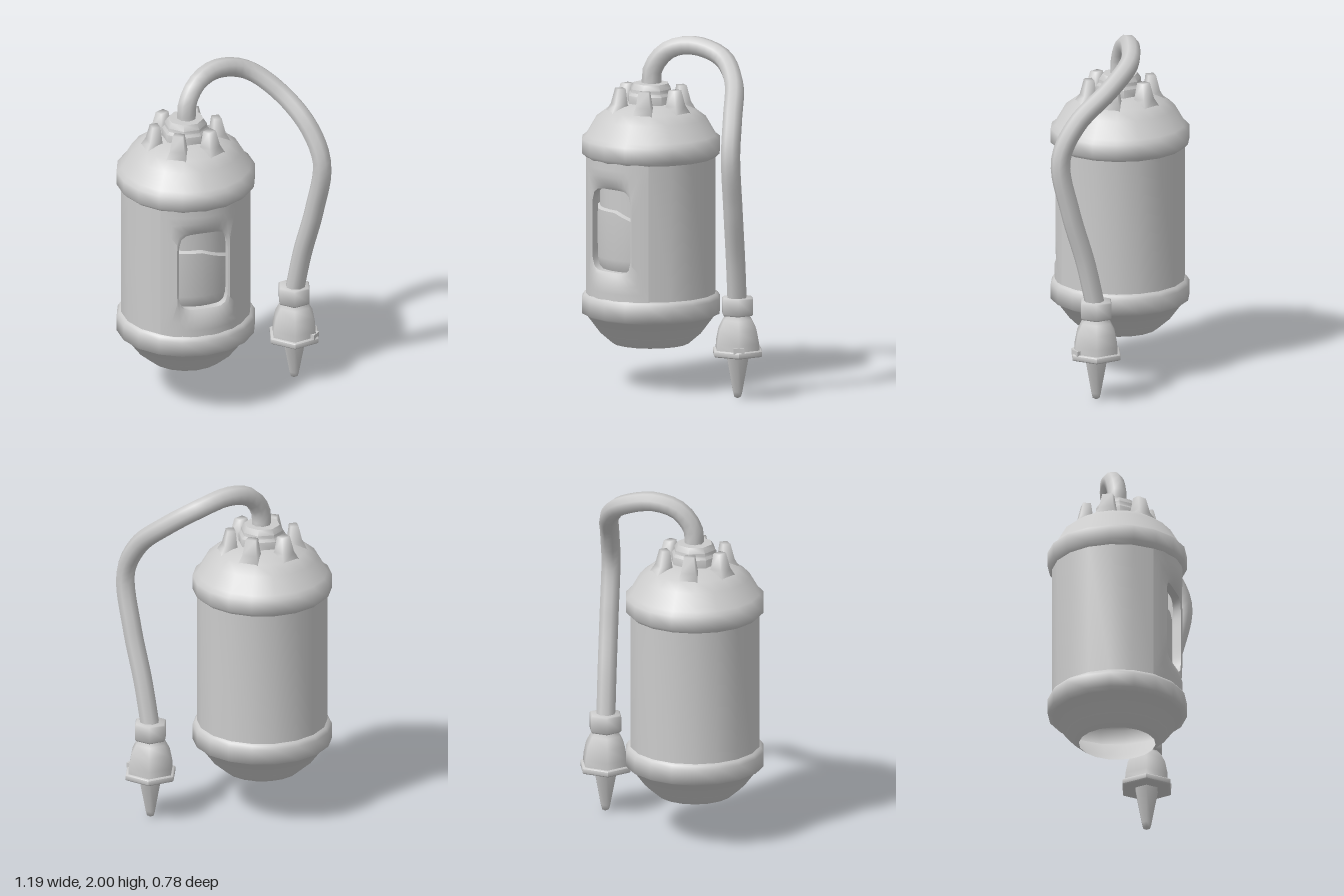
import * as THREE from 'three';
import { toCreasedNormals } from 'three/addons/utils/BufferGeometryUtils.js';

const R = 0.366; // tank wall radius
const TANK_X = -0.21;

export function createModel() {
  const model = new THREE.Group();
  const solid = new THREE.MeshStandardMaterial({ color: 0xcccccc });
  const shell = new THREE.MeshStandardMaterial({ color: 0xcccccc, side: THREE.DoubleSide });

  const add = (parent, name, geometry, material = solid) => {
    const mesh = new THREE.Mesh(geometry, material);
    mesh.name = name;
    parent.add(mesh);
    return mesh;
  };
  // Turned part from [radius, y] pairs, listed from bottom to top
  const turned = (points, sides, crease = 1.2, start = 0, sweep = Math.PI * 2) =>
    toCreasedNormals(new THREE.LatheGeometry(
      points.map(([r, y]) => new THREE.Vector2(r, y)), sides, start, sweep), crease);

  // ---- Tank ----
  const tank = new THREE.Group();
  tank.name = 'tank';
  tank.position.x = TANK_X;
  model.add(tank);

  // Bottom is left open
  add(tank, 'lowerCap', turned([
    [0.215, 0.245], [0.285, 0.305], [0.36, 0.405], [0.391, 0.42],
    [0.391, 0.505], [0.378, 0.525], [R - 0.002, 0.535],
  ], 18), shell);
  add(tank, 'dome', turned([
    [R - 0.002, 1.305], [0.391, 1.33], [0.391, 1.41], [0.365, 1.43],
    [0.31, 1.525], [0.25, 1.57], [0.185, 1.597], [0.13, 1.61], [0, 1.62],
  ], 18), shell);

  // Wall: plain sweep round the back, panel with the window at the front
  const gap = THREE.MathUtils.degToRad(40);
  add(tank, 'wall',
    turned([[R, 0.52], [R, 1.32]], 14, 1.2, gap, Math.PI * 2 - 2 * gap), shell);
  add(tank, 'windowPanel', windowPanel(gap), shell);

  // Contents seen through the window
  add(tank, 'innerVessel', turned([[0.285, 0.64], [0.285, 1.2]], 12, 1.2, -1.2, 2.4), shell);
  const liquid = turned([
    [0.27, 0.655], [0.298, 0.69], [0.308, 0.75], [0.308, 1.0], [0.28, 1.012],
  ], 12, 0.7, -1.2, 2.4);
  const p = liquid.attributes.position;
  for (let i = 0; i < p.count; i++) // surface level on one side, sloping on the other
    if (p.getY(i) > 0.9) p.setY(i, p.getY(i) + 0.02 - Math.max(0, p.getX(i)) * 0.4);
  add(tank, 'liquid', toCreasedNormals(liquid, 0.7), shell);

  // Six softly flared prongs round the hub: [y, inner, outer, half width]
  const levels = [[1.56, 0.13, 0.25, 0.06], [1.61, 0.15, 0.222, 0.042], [1.698, 0.158, 0.202, 0.029]];
  for (let i = 0; i < 6; i++) {
    const prong = new THREE.BoxGeometry(1, 2, 1, 1, 2, 1);
    const v = prong.attributes.position;
    for (let j = 0; j < v.count; j++) {
      const [y, inner, outer, half] = levels[Math.round(v.getY(j)) + 1];
      v.setXYZ(j, v.getX(j) > 0 ? outer : inner, y, Math.sign(v.getZ(j)) * half);
    }
    add(tank, 'prong', toCreasedNormals(prong, 1.65)).rotation.y = i * Math.PI / 3;
  }

  add(tank, 'hoseSocket', turned([
    [0.135, 1.6], [0.135, 1.655], [0.12, 1.67], [0.12, 1.69], [0.1, 1.72], [0, 1.725],
  ], 8, 0.9, Math.PI / 8));

  // ---- Hose ----
  const path = new THREE.CatmullRomCurve3([
    [-0.205, 1.69, 0], [-0.2, 1.8, -0.005], [-0.13, 1.905, -0.045], [0, 1.945, -0.105],
    [0.19, 1.895, -0.147], [0.35, 1.78, -0.07], [0.48, 1.61, 0.085], [0.537, 1.41, 0.165],
    [0.51, 1.1, 0.115], [0.462, 0.8, 0.04], [0.43, 0.54, -0.01],
  ].map((q) => new THREE.Vector3(...q)));
  add(model, 'hose', new THREE.TubeGeometry(path, 44, 0.055, 8), shell);

  // ---- Nozzle ----
  const nozzle = new THREE.Group();
  nozzle.name = 'nozzle';
  nozzle.position.set(0.43, 0, -0.013);
  nozzle.rotation.y = Math.PI / 4;
  model.add(nozzle);

  add(nozzle, 'collar', turned([
    [0, 0.475], [0.09, 0.475], [0.098, 0.485], [0.098, 0.567], [0.09, 0.575], [0, 0.575],
  ], 6));
  add(nozzle, 'bell', turned([
    [0.138, 0.27], [0.136, 0.32], [0.12, 0.395], [0.09, 0.45], [0.068, 0.475], [0.068, 0.49],
  ], 6), shell);
  add(nozzle, 'flange', turned([
    [0, 0.246], [0.148, 0.246], [0.155, 0.252], [0.155, 0.276], [0.148, 0.282], [0, 0.282],
  ], 6));
  add(nozzle, 'tip', turned([
    [0, 0], [0.022, 0.012], [0.03, 0.04], [0.072, 0.25],
  ], 6), shell);
  const catchBlock = add(nozzle, 'catch', new THREE.BoxGeometry(0.06, 0.03, 0.04));
  catchBlock.position.set(0, 0.29, 0.122);

  return model;
}

// Curved panel with a rounded opening, flattened round the rim and with an inward lip
function windowPanel(halfAngle) {
  const N = 40;
  // s: 0 at the opening, 1 at the panel edge; flat: share of flat rim at depth z
  const rings = [
    { s: 0, z: 0.285, flat: 1 }, { s: 0, z: 0.33, flat: 1 },
    { s: 0.12, z: 0.336, flat: 0.7 }, { s: 0.45, z: 0, flat: 0 },
    { s: 0.7, z: 0, flat: 0 }, { s: 1, z: 0, flat: 0 },
  ];
  const positions = [];
  const index = [];
  rings.forEach(({ s, z, flat }, k) => {
    for (let i = 0; i < N; i++) {
      const t = (i / N) * Math.PI * 2;
      const c = Math.cos(t), d = Math.sin(t);
      const hole = Math.pow(Math.abs(c) ** 6 + Math.abs(d) ** 6, -1 / 6);
      const edge = 1 / Math.max(Math.abs(c), Math.abs(d));
      const phi = THREE.MathUtils.lerp(0.405 * hole, halfAngle * edge, s) * c;
      const y = 0.92 + THREE.MathUtils.lerp(0.235 * hole, 0.4 * edge, s) * d;
      positions.push(R * Math.sin(phi), y,
        THREE.MathUtils.lerp(R * Math.cos(phi), z, flat));
      if (k > 0) {
        const j = (i + 1) % N, a = (k - 1) * N, b = k * N;
        index.push(a + i, b + i, b + j, a + i, b + j, a + j);
      }
    }
  });
  const geometry = new THREE.BufferGeometry();
  geometry.setAttribute('position', new THREE.Float32BufferAttribute(positions, 3));
  geometry.setIndex(index);
  return toCreasedNormals(geometry, 0.8);
}
